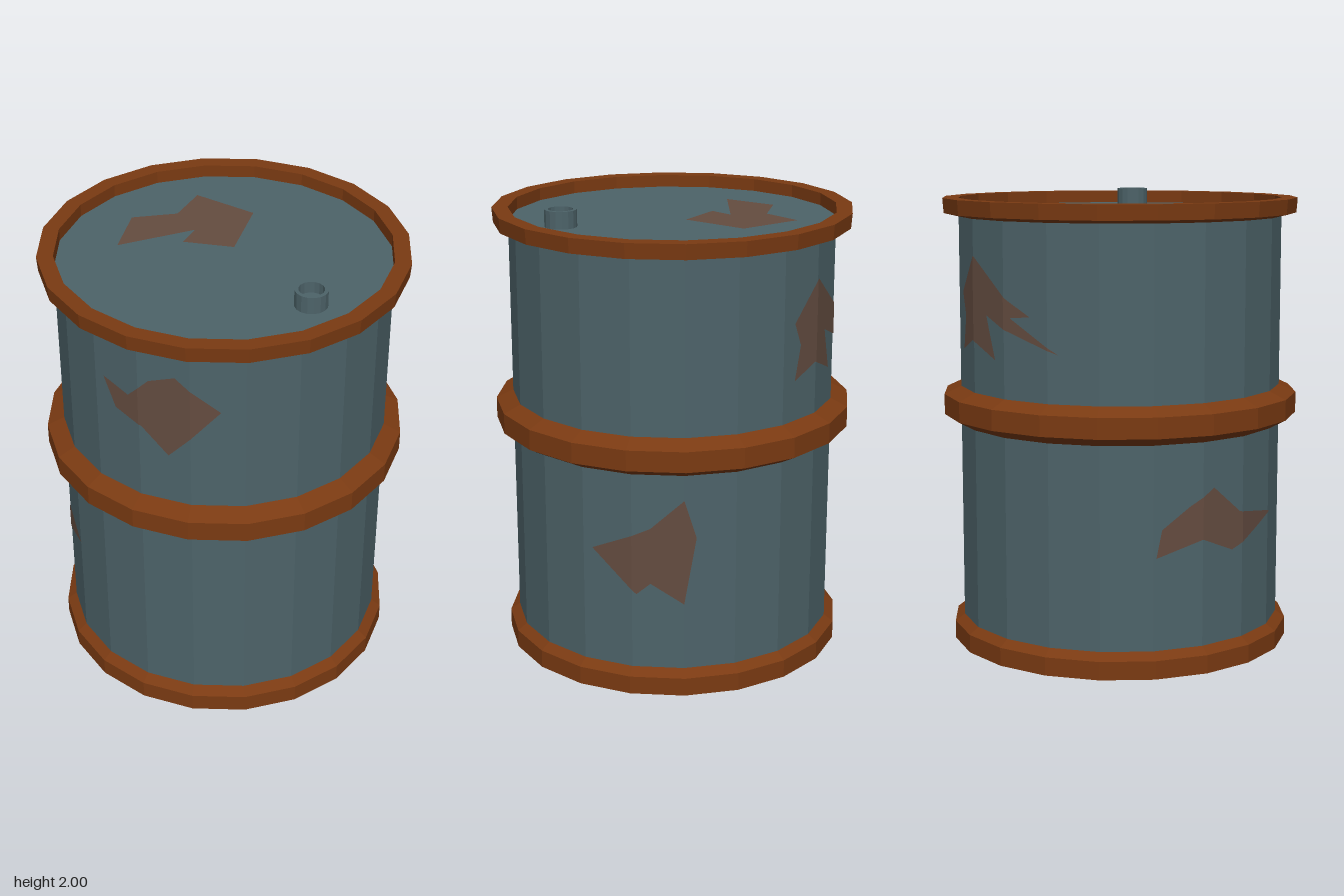
import * as THREE from 'three';

const SIDES = 20;
const R = 0.715;
const STEP = 360 / SIDES;

const paint = (color, side = THREE.FrontSide) =>
  new THREE.MeshStandardMaterial({ color, flatShading: true, side });

const vectors = (pairs) => pairs.map(([x, y]) => new THREE.Vector2(x, y));

// Faceted ring or shell from a radius/height profile
function turned(name, profile, material, sides = SIDES) {
  const mesh = new THREE.Mesh(new THREE.LatheGeometry(vectors(profile), sides), material);
  mesh.name = name;
  return mesh;
}

// Keep the part of a convex polygon where sign * (x - limit) >= 0
function clip(poly, limit, sign) {
  const out = [];
  poly.forEach((a, i) => {
    const b = poly[(i + 1) % poly.length];
    const da = sign * (a.x - limit), db = sign * (b.x - limit);
    if (da >= 0) out.push(a);
    if (da * db < 0) out.push(a.clone().lerp(b, da / (da - db)));
  });
  return out;
}

// Patch given as [azimuth in degrees, height], wrapped over the drum's flat facets
function wallPatch(name, outline, material) {
  const flat = new THREE.ShapeGeometry(new THREE.Shape(vectors(outline))).toNonIndexed();
  const p = flat.attributes.position;
  const positions = [];
  const corner = (k) => {
    const a = THREE.MathUtils.degToRad(k * STEP);
    return new THREE.Vector3(Math.sin(a), 0, Math.cos(a)).multiplyScalar(R + 0.003);
  };
  for (let t = 0; t < p.count; t += 3) {
    const tri = [0, 1, 2].map((j) => new THREE.Vector2(p.getX(t + j) / STEP, p.getY(t + j)));
    const us = tri.map((v) => v.x);
    for (let k = Math.floor(Math.min(...us)); k < Math.max(...us); k++) {
      const piece = clip(clip(tri, k, 1), k + 1, -1).map((v) => {
        const q = corner(k).lerp(corner(k + 1), v.x - k);
        return q.setY(v.y);
      });
      for (let j = 1; j < piece.length - 1; j++) {
        [piece[0], piece[j], piece[j + 1]].forEach((q) => positions.push(q.x, q.y, q.z));
      }
    }
  }
  const geometry = new THREE.BufferGeometry();
  geometry.setAttribute('position', new THREE.Float32BufferAttribute(positions, 3));
  geometry.computeVertexNormals();
  const mesh = new THREE.Mesh(geometry, material);
  mesh.name = name;
  return mesh;
}

export function createModel() {
  const group = new THREE.Group();
  const steel = paint(0x4d6369);
  const rust = paint(0x7a3a12);
  const stain = paint(0x644c40);

  // Drum wall, lid and base
  group.add(turned('drumWall', [[R, 0.05], [R, 1.94]], steel));
  const disc = (name, radius, y, tilt) => {
    const mesh = new THREE.Mesh(new THREE.CircleGeometry(radius, SIDES), steel);
    mesh.name = name;
    mesh.rotation.x = tilt;
    mesh.position.y = y;
    group.add(mesh);
  };
  disc('lid', R, 1.925, -Math.PI / 2);
  disc('base', 0.757, 0, Math.PI / 2);

  // Rusty hoops
  group.add(turned('bottomHoop', [[0.757, 0], [0.757, 0.08], [R, 0.11]], rust));
  group.add(turned('middleHoop', [[R, 0.99], [0.79, 1.03], [0.79, 1.12], [R, 1.155]], rust));
  group.add(turned('topRim',
    [[R, 1.9], [0.78, 1.915], [0.785, 1.98], [R, 1.98], [R, 1.925]], rust));

  // Hollow filler neck on the lid
  const neck = turned('fillerNeck',
    [[0.07, 1.925], [0.07, 2], [0.054, 2], [0.054, 1.95], [0, 1.95]], steel, 16);
  neck.position.set(0.3, 0, 0.415);
  group.add(neck);

  // Rust patches on the wall
  const deg = (s) => THREE.MathUtils.radToDeg(Math.asin(s / R));
  const front = [[-0.55, 1.68], [-0.51, 1.55], [-0.41, 1.51], [-0.31, 1.39], [-0.1, 1.63],
    [-0.28, 1.78], [-0.38, 1.74], [-0.46, 1.64]];
  const side = [[0.18, 0.635], [-0.02, 0.45], [-0.08, 0.5], [-0.22, 0.41], [-0.27, 0.71],
    [-0.22, 0.88], [-0.08, 0.75]];
  const back = [[-17.6, 1.745], [1.4, 1.575], [11, 1.51], [2.8, 1.5], [22, 1.36], [0, 1.45],
    [-10, 1.5], [-5, 1.315], [-18.7, 1.385], [-30, 1.33], [-27, 1.48], [-30.4, 1.58]];
  const far = [[76.7, 0.79], [88.6, 0.667], [109, 0.625], [99, 0.572], [85, 0.506],
    [72, 0.574], [55, 0.51], [57, 0.63], [67, 0.72]];
  group.add(wallPatch('frontRustPatch', front.map(([x, y]) => [deg(x), y]), stain));
  group.add(wallPatch('leftRustPatch', side.map(([z, y]) => [90 - deg(z), y]), stain));
  group.add(wallPatch('backRustPatch', back.map(([a, y]) => [180 + a, y]), stain));
  group.add(wallPatch('rightRustPatch', far.map(([a, y]) => [180 + a, y]), stain));

  // Rust patch on the lid
  const lidOutline = [[-0.055, -0.54], [0.17, -0.35], [0.05, -0.07], [-0.16, -0.14],
    [-0.1, -0.235], [-0.44, -0.145], [-0.36, -0.375], [-0.16, -0.385]];
  const lidPatch = new THREE.Mesh(
    new THREE.ShapeGeometry(new THREE.Shape(vectors(lidOutline.map(([x, z]) => [x, -z])))), stain);
  lidPatch.name = 'lidRustPatch';
  lidPatch.rotation.x = -Math.PI / 2;
  lidPatch.position.y = 1.928;
  group.add(lidPatch);

  return group;
}
